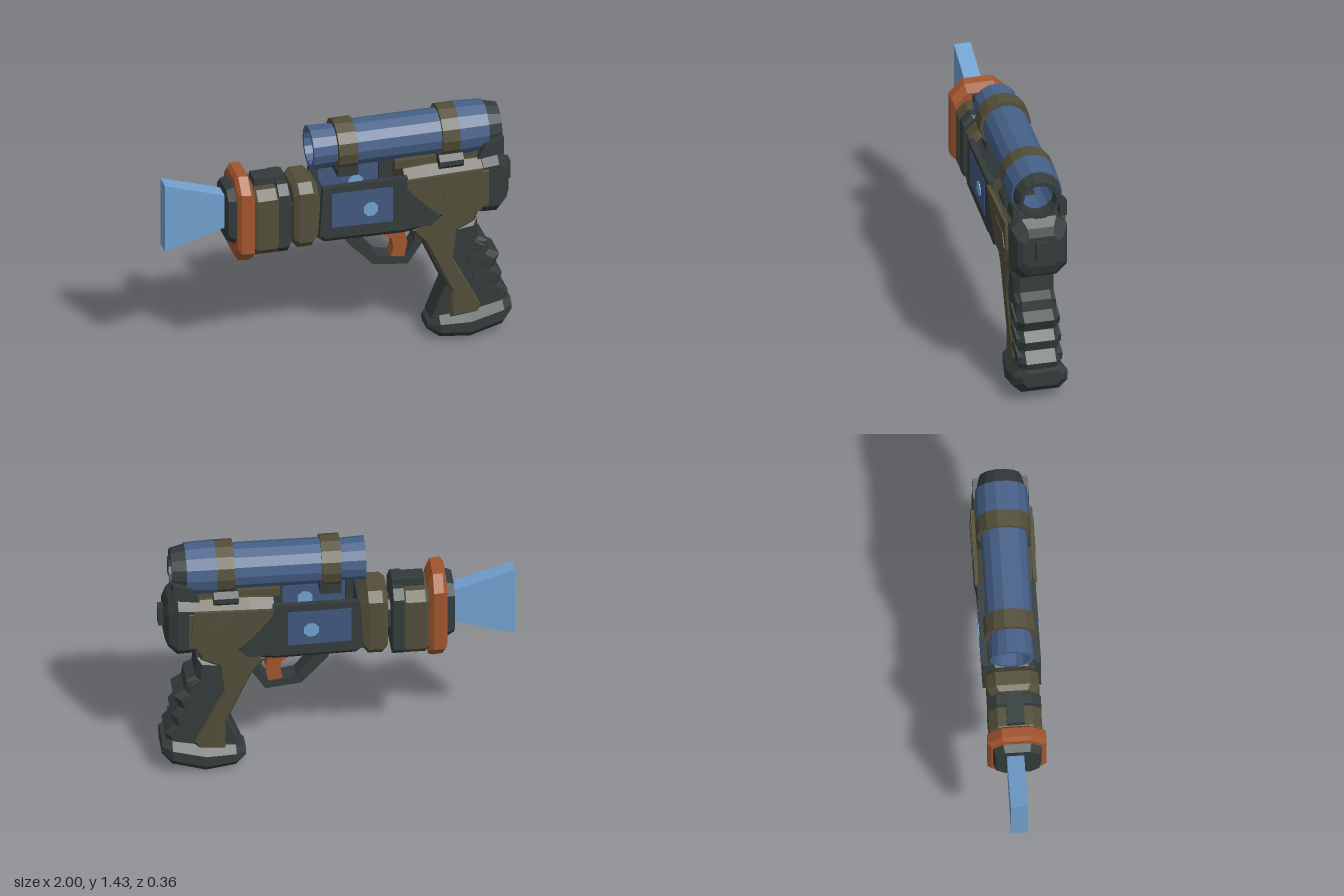
import * as THREE from 'three';

const mat = (name, color) => {
  const m = new THREE.MeshStandardMaterial({ color });
  m.name = name;
  return m;
};

export function createModel() {
  const dark = mat('dark gunmetal', 0x333c3b);
  const olive = mat('olive', 0x524e39);
  const blue = mat('steel blue', 0x466088);
  const panelBlue = mat('panel blue', 0x42587f);
  const light = mat('light blue', 0x72a1cf);
  const orange = mat('burnt orange', 0xa2552e);

  const group = new THREE.Group();
  group.name = 'rayPistol';
  const add = (name, geometry, material) => {
    const mesh = new THREE.Mesh(geometry, material);
    mesh.name = name;
    group.add(mesh);
    return mesh;
  };

  // Faceted body along x; each section is [x, bottom, top, halfDepth, chamfer]
  const loft = (sections) => {
    const rings = sections.map(([x, y0, y1, w, c]) => [
      [y1, -w + c], [y1, w - c], [y1 - c, w], [y0 + c, w],
      [y0, w - c], [y0, -w + c], [y0 + c, -w], [y1 - c, -w],
    ].map(([y, z]) => [x, y, z]));
    const pos = [];
    const tri = (...pts) => pts.forEach((p) => pos.push(...p));
    for (let i = 0; i + 1 < rings.length; i++) {
      for (let j = 0; j < 8; j++) {
        const k = (j + 1) % 8, r = rings[i], s = rings[i + 1];
        tri(r[j], r[k], s[k]);
        tri(r[j], s[k], s[j]);
      }
    }
    const first = rings[0], last = rings[rings.length - 1];
    for (let j = 1; j < 7; j++) {
      tri(first[0], first[j + 1], first[j]);
      tri(last[0], last[j], last[j + 1]);
    }
    const g = new THREE.BufferGeometry();
    g.setAttribute('position', new THREE.Float32BufferAttribute(pos, 3));
    g.computeVertexNormals();
    return g;
  };

  // Side profile extruded across z, with a chamfer that stays inside the outline
  const slab = (points, half, bevel = 0, hole = null) => {
    const shape = new THREE.Shape(points.map((p) => new THREE.Vector2(...p)));
    if (hole) shape.holes.push(new THREE.Path(hole.map((p) => new THREE.Vector2(...p))));
    const g = new THREE.ExtrudeGeometry(shape, {
      depth: 2 * (half - bevel), bevelEnabled: bevel > 0, bevelSegments: 1,
      bevelSize: bevel, bevelThickness: bevel, bevelOffset: -bevel,
    });
    return g.translate(0, 0, -half + bevel);
  };

  // Thin plate on both sides of the model
  const plates = (name, points, z, thick, material, hole) => [1, -1].forEach((s) => {
    add(name + (s > 0 ? 'Front' : 'Back'), slab(points, thick / 2, 0, hole), material).position.z = s * z;
  });

  // Flared beam and muzzle
  add('beam', slab([[-1, 0.76], [-0.63, 0.87], [-0.63, 1.06], [-1, 1.18]], 0.048), light)
    .position.z = -0.012;
  add('muzzle', loft([[-0.655, 0.8, 1.12, 0.12, 0.05], [-0.6, 0.77, 1.14, 0.14, 0.06]]), dark);
  add('muzzleRing', loft([
    [-0.61, 0.7, 1.18, 0.145, 0.07], [-0.59, 0.67, 1.205, 0.165, 0.08],
    [-0.535, 0.665, 1.2, 0.165, 0.08], [-0.51, 0.665, 1.15, 0.145, 0.07],
  ]), orange);

  // Barrel segments
  add('barrel', loft([
    [-0.52, 0.72, 1.1, 0.13, 0.05], [-0.49, 0.7, 1.11, 0.148, 0.05],
    [-0.38, 0.7, 1.11, 0.148, 0.05], [-0.36, 0.72, 1.1, 0.14, 0.05],
  ]), olive);
  add('barrelCollar', loft([
    [-0.37, 0.7, 1.13, 0.15, 0.05], [-0.31, 0.7, 1.13, 0.15, 0.05], [-0.3, 0.72, 1.11, 0.14, 0.05],
  ]), dark);
  add('barrelTopRail', new THREE.BoxGeometry(0.18, 0.06, 0.1).translate(-0.4, 1.125, 0), dark);
  add('barrelUnderRail', new THREE.BoxGeometry(0.19, 0.05, 0.18).translate(-0.4, 0.72, 0), olive);
  add('barrelNeck', loft([[-0.31, 0.82, 1.02, 0.08, 0.04], [-0.2, 0.82, 1.02, 0.08, 0.04]]), dark);
  add('receiverCollar', loft([
    [-0.28, 0.74, 1.1, 0.13, 0.05], [-0.25, 0.71, 1.12, 0.146, 0.05],
    [-0.17, 0.71, 1.12, 0.146, 0.05], [-0.13, 0.76, 1.08, 0.13, 0.05],
  ]), olive);

  // Open-topped receiver: floor, bulkhead and walls holding the blue windows
  add('receiverFloor', loft([
    [-0.14, 0.76, 0.82, 0.13, 0.025], [-0.1, 0.735, 0.82, 0.15, 0.035],
    [0.36, 0.725, 0.82, 0.15, 0.035], [0.52, 0.74, 0.83, 0.14, 0.035],
  ]), dark);
  add('receiverBulkhead', loft([[-0.15, 0.78, 1.07, 0.12, 0.04], [-0.11, 0.76, 1.09, 0.14, 0.04]]), dark);
  const win = [[-0.07, 0.845], [0.285, 0.835], [0.285, 1.055], [-0.07, 1.06]];
  plates('receiverWall', [[-0.14, 0.79], [0.36, 0.77], [0.37, 1.1], [-0.12, 1.1]], 0.147, 0.034, dark, win);
  plates('window', win, 0.162, 0.008, panelBlue);
  const dot = [];
  for (let i = 0; i < 8; i++) {
    const a = (i + 0.5) * Math.PI / 4;
    dot.push([0.155 + 0.045 * Math.cos(a), 0.933 + 0.045 * Math.sin(a)]);
  }
  plates('windowLight', dot, 0.168, 0.006, light);
  plates('windowLightInner', dot, 0.156, 0.006, light);

  // Rear housing with raised olive cheeks
  add('rearHousing', loft([
    [0.36, 0.78, 1.12, 0.145, 0.05], [0.5, 0.77, 1.13, 0.158, 0.06], [0.84, 0.79, 1.13, 0.158, 0.06],
  ]), olive);
  plates('cheek', [[0.36, 1.08], [0.46, 0.95], [0.58, 0.82], [0.79, 0.83], [0.83, 0.93], [0.81, 1.09]],
    0.163, 0.02, olive);
  plates('cheekInset', [[0.57, 0.94], [0.64, 0.87], [0.78, 0.87], [0.8, 0.93], [0.76, 1.0], [0.6, 1.02]],
    0.175, 0.006, olive);
  plates('cheekBrace', [[0.33, 0.79], [0.5, 0.77], [0.56, 0.82], [0.44, 0.94], [0.36, 1.03]], 0.155, 0.02, dark);
  add('rearCap', loft([
    [0.81, 0.78, 1.15, 0.155, 0.06], [0.9, 0.78, 1.16, 0.16, 0.06],
    [0.95, 0.82, 1.12, 0.135, 0.06], [0.97, 0.88, 1.07, 0.1, 0.03],
  ]), dark);
  add('rearButton', new THREE.BoxGeometry(0.05, 0.11, 0.07).translate(0.975, 0.99, 0), dark);

  // Grip: olive spine, ridged dark back and base
  add('gripFrame', slab([
    [0.4, 0.73], [0.48, 0.64], [0.63, 0.31], [0.63, 0.14], [0.79, 0.15], [0.81, 0.2], [0.65, 0.52],
    [0.67, 0.69], [0.77, 0.74], [0.8, 0.82], [0.52, 0.82],
  ], 0.125, 0.015), olive);
  add('gripBack', slab([
    [0.63, 0.72], [0.79, 0.74], [0.8, 0.62], [0.85, 0.59], [0.86, 0.53], [0.92, 0.49], [0.89, 0.42],
    [0.935, 0.37], [0.92, 0.31], [0.97, 0.25], [0.95, 0.18], [0.74, 0.14], [0.6, 0.5],
  ], 0.115, 0.03), dark);
  add('gripFront', slab([[0.46, 0.66], [0.61, 0.32], [0.53, 0.12], [0.7, 0.12], [0.7, 0.34], [0.56, 0.66]],
    0.08, 0.012), dark);
  for (let i = 0; i < 4; i++) {
    const ridge = add('gripRidge' + (i + 1), new THREE.BoxGeometry(0.14, 0.055, i ? 0.256 : 0.22), dark);
    ridge.position.set(0.77 + i * 0.03, 0.58 - i * 0.1, 0);
    ridge.rotation.z = -0.35;
  }
  add('gripBase', loft([
    [0.51, 0.05, 0.1, 0.07, 0.02], [0.57, 0.015, 0.145, 0.13, 0.04], [0.74, 0, 0.165, 0.158, 0.05],
    [0.93, 0.055, 0.215, 0.158, 0.05], [0.985, 0.11, 0.2, 0.11, 0.03],
  ]), dark);

  // Trigger and guard
  add('triggerGuard', slab(
    [[0.03, 0.74], [0.05, 0.67], [0.2, 0.51], [0.4, 0.485], [0.49, 0.62], [0.48, 0.75]], 0.055, 0,
    [[0.11, 0.7], [0.23, 0.555], [0.38, 0.53], [0.44, 0.62], [0.43, 0.7]],
  ), dark);
  add('trigger', slab(
    [[0.23, 0.71], [0.31, 0.65], [0.32, 0.59], [0.3, 0.53], [0.385, 0.53], [0.4, 0.62], [0.38, 0.71]], 0.045,
  ), orange);

  // Hollow scope: tube sections, bands and end ring along x
  const drum = (name, x0, x1, r0, r1, inner, material) => {
    const profile = [[inner, x0], [r0, x0], [r1, x1], [inner, x1], [inner, x0]];
    const g = new THREE.LatheGeometry(profile.map((p) => new THREE.Vector2(...p)), 14)
      .rotateZ(-Math.PI / 2).toNonIndexed();
    g.computeVertexNormals();
    add(name, g.translate(0, 1.285, 0), material);
  };
  drum('scopeNose', -0.16, -0.01, 0.125, 0.118, 0.1, blue);
  drum('scopeTube', -0.01, 0.68, 0.13, 0.13, 0.1, blue);
  drum('scopeFrontBand', -0.02, 0.09, 0.148, 0.148, 0.11, olive);
  drum('scopeRearBand', 0.58, 0.68, 0.152, 0.152, 0.12, olive);
  drum('scopeRear', 0.68, 0.85, 0.153, 0.145, 0.1, blue);
  drum('scopeEndRing', 0.85, 0.93, 0.138, 0.118, 0.095, dark);

  // Mounts under the scope
  add('mountRail', new THREE.BoxGeometry(0.5, 0.05, 0.16).translate(0.57, 1.14, 0), olive);
  add('frontMount', new THREE.BoxGeometry(0.12, 0.07, 0.22).translate(0.04, 1.165, 0), dark);
  add('rearMount', loft([[0.56, 1.1, 1.19, 0.15, 0.03], [0.7, 1.1, 1.19, 0.15, 0.03]]), dark);
  // Cradle cheeks either side of the open scope end
  plates('endCradle', [[0.78, 1.15], [0.93, 1.17], [0.93, 1.27], [0.82, 1.24]], 0.135, 0.04, dark);

  return group;
}
